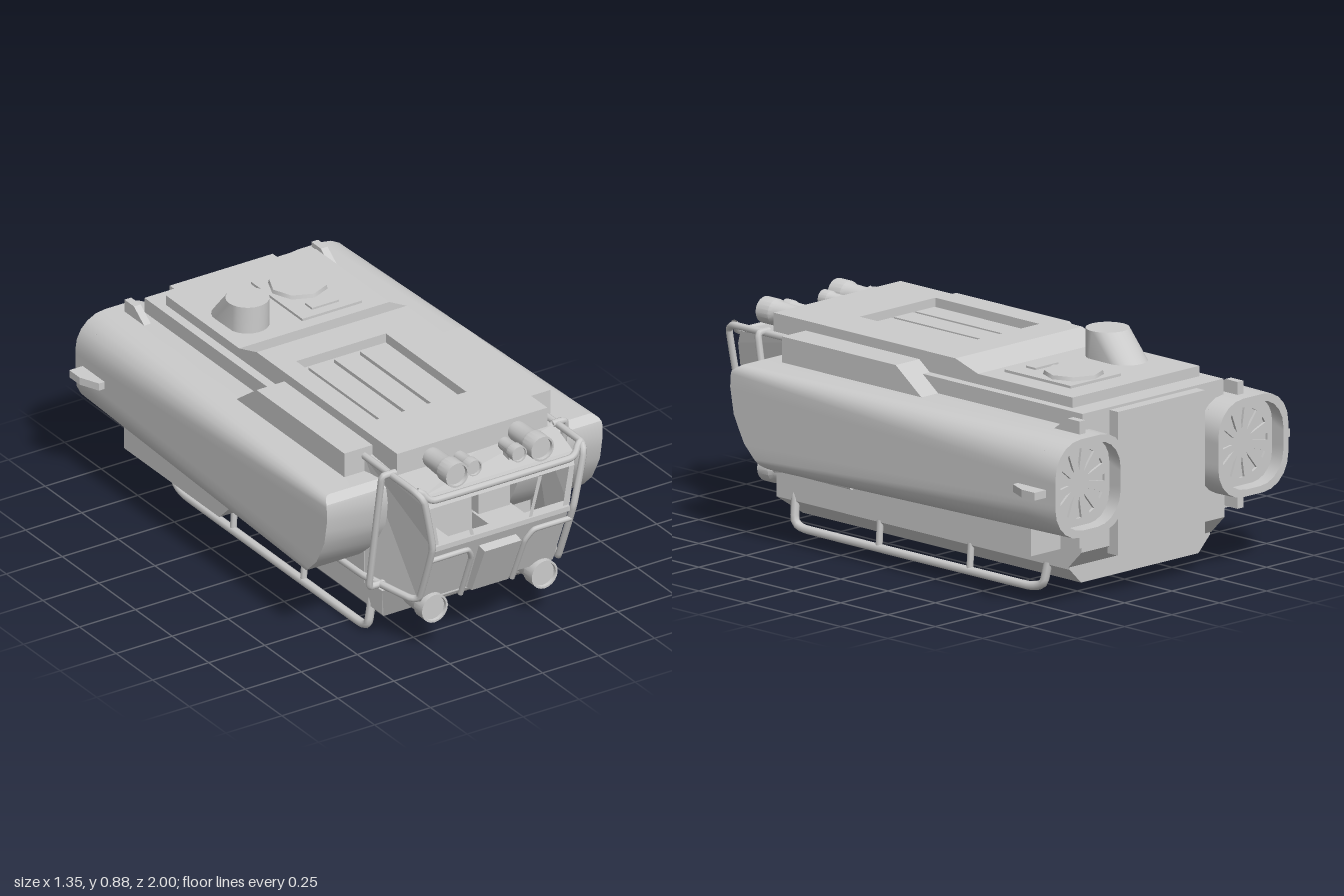
import * as THREE from 'three';
import { toCreasedNormals } from 'three/addons/utils/BufferGeometryUtils.js';

const mat = new THREE.MeshStandardMaterial({ color: 0xcccccc, side: THREE.DoubleSide });

export function createModel() {
  const root = new THREE.Group();
  const add = (name, geo, x = 0, y = 0, z = 0) => {
    const m = new THREE.Mesh(geo, mat);
    m.name = name;
    m.position.set(x, y, z);
    root.add(m);
    return m;
  };
  const box = (name, x0, x1, y0, y1, z0, z1) =>
    add(name, new THREE.BoxGeometry(x1 - x0, y1 - y0, z1 - z0), (x0 + x1) / 2, (y0 + y1) / 2, (z0 + z1) / 2);
  const shape = (pts) => new THREE.Shape(pts.map((p) => new THREE.Vector2(...p)));
  const extrude = (s, depth) => new THREE.ExtrudeGeometry(s, { depth, bevelEnabled: false });
  // side profile of [z, y] points, extruded across x
  const side = (name, pts, x0, x1) => add(name, extrude(shape(pts), x1 - x0).rotateY(-Math.PI / 2), x1);
  // plan of [x, z] points, extruded upward
  const plan = (name, s, y0, y1) => add(name, extrude(s, y1 - y0).rotateX(Math.PI / 2), 0, y1);
  const rect = (x0, x1, z0, z1) => [[x0, z0], [x1, z0], [x1, z1], [x0, z1]];
  const tube = (name, pts, r = 0.014) => {
    const c = new THREE.CatmullRomCurve3(pts.map((p) => new THREE.Vector3(...p)), false, 'catmullrom', 0.15);
    return add(name, new THREE.TubeGeometry(c, pts.length * 10, r, 8));
  };
  // thin convex panel
  const panel = (name, pts) => {
    const pos = [];
    for (let i = 1; i < pts.length - 1; i++) pos.push(...pts[0], ...pts[i], ...pts[i + 1]);
    const g = new THREE.BufferGeometry();
    g.setAttribute('position', new THREE.Float32BufferAttribute(pos, 3));
    g.computeVertexNormals();
    return add(name, g);
  };
  const interp = (table, v) => {
    for (let i = 1; i < table.length; i++) {
      const [a, fa] = table[i - 1], [b, fb] = table[i];
      if (v <= b) return fa + (fb - fa) * Math.max(0, (v - a) / (b - a));
    }
    return table[table.length - 1][1];
  };

  // Hull, keel and skirt
  box('hull', -0.372, 0.372, 0.2, 0.735, -0.9, 0.6);
  const keel = extrude(shape([[-0.31, 0.06], [0.31, 0.06], [0.37, 0.12], [0.37, 0.22], [-0.37, 0.22], [-0.37, 0.12]]), 1.55);
  const kp = keel.attributes.position;
  for (let i = 0; i < kp.count; i++) if (kp.getZ(i) > 1 && kp.getY(i) < 0.1) kp.setZ(i, 1.47);
  keel.computeVertexNormals();
  add('keel', keel, 0, 0, -0.83);
  box('bellyPlate', -0.225, 0.225, 0.045, 0.065, -0.78, 0.56);
  side('skirt', [[0.31, 0.24], [0.23, 0.13], [-0.83, 0.13], [-0.9, 0.2], [-0.9, 0.3], [0.31, 0.3]], -0.378, 0.378);
  box('rearDoor', -0.23, 0.23, 0.17, 0.725, -0.945, -0.89);

  // Roof with framed skylight
  box('roofBase', -0.335, 0.335, 0.72, 0.775, -0.81, 0.77);
  const top = shape(rect(-0.335, 0.335, -0.19, 0.77));
  top.holes.push(new THREE.Path(rect(-0.25, 0.15, -0.05, 0.5).map((p) => new THREE.Vector2(...p))));
  plan('roofTop', top, 0.77, 0.813);
  side('roofStep', [[-0.19, 0.77], [-0.19, 0.813], [-0.31, 0.775], [-0.31, 0.77]], -0.335, 0.335);
  for (let i = 0; i < 3; i++) box('skylightPane', -0.215 + i * 0.115, -0.115 + i * 0.115, 0.77, 0.79, -0.02, 0.47);

  // Rear hatch and exhaust
  box('hatchPlate', -0.02, 0.245, 0.77, 0.785, -0.71, -0.36);
  add('hatchLid', new THREE.CylinderGeometry(0.11, 0.115, 0.02, 8), 0.11, 0.79, -0.59);
  box('hatchLatch', 0.05, 0.17, 0.78, 0.793, -0.45, -0.4);
  const stack = new THREE.CylinderGeometry(0.083, 0.083, 0.125, 24);
  const sp = stack.attributes.position;
  for (let i = 0; i < sp.count; i++) if (sp.getY(i) < 0 && sp.getZ(i) < 0.001) sp.setZ(i, sp.getZ(i) - 0.11);
  add('exhaustStack', toCreasedNormals(stack, 0.6), -0.2, 0.822, -0.46);

  // Hollow cab with open windows
  const noseZ = (y) => interp([[0.22, 0.86], [0.49, 0.965], [0.66, 0.965], [0.71, 0.945]], y);
  const noseX = (y) => interp([[0.22, 0.3], [0.49, 0.305], [0.71, 0.335]], y);
  const front = (x, y, off = 0) => [x, y, noseZ(y) + off];
  const edge = (s, y) => front(s * noseX(y), y);
  const ys = [0.22, 0.49, 0.66, 0.71];
  for (const s of [1, -1]) {
    panel('cabSide', [[s * 0.37, 0.735, 0.6], [s * 0.37, 0.2, 0.6], ...ys.map((y) => edge(s, y)), [s * 0.365, 0.735, 0.77]]);
    panel('outerPillar', [edge(s, 0.49), front(s * 0.275, 0.49), front(s * 0.305, 0.66), edge(s, 0.66)]);
    const strut = [[0.12, 0.49], [0.135, 0.49], [0.182, 0.66], [0.165, 0.66]];
    panel('windowPillar', strut.map(([x, y]) => front(s * x, y, 0.004)));
    panel('frontInset', [[0.15, 0.27], [0.27, 0.27], [0.27, 0.4], [0.15, 0.4]].map(([x, y]) => front(s * x, y, 0.01)));
    box('seatBase', s * 0.17 - 0.08, s * 0.17 + 0.08, 0.3, 0.38, 0.63, 0.8);
    box('seatBack', s * 0.17 - 0.07, s * 0.17 + 0.07, 0.38, 0.58, 0.61, 0.66);
  }
  for (const [name, a, b] of [['nosePanel', 0.22, 0.49], ['windowHeader', 0.66, 0.71]])
    panel(name, [edge(-1, a), edge(1, a), edge(1, b), edge(-1, b)]);
  panel('cabRoof', [edge(-1, 0.71), edge(1, 0.71), [0.365, 0.735, 0.77], [0.37, 0.735, 0.6], [-0.37, 0.735, 0.6], [-0.365, 0.735, 0.77]]);
  panel('cabFloor', [edge(-1, 0.22), edge(1, 0.22), [0.37, 0.2, 0.6], [-0.37, 0.2, 0.6]]);
  box('windowSill', -0.3, 0.3, 0.48, 0.5, 0.93, 0.978);
  side('noseBox', [[0.84, 0.215], [0.89, 0.215], [0.982, 0.42], [0.93, 0.43]], -0.082, 0.082);

  // Engine pods: rounded section lofted to a swept, sharp-edged nose
  const podNose = [[0.295, 0.52], [0.31, 0.57], [0.37, 0.64], [0.48, 0.7], [0.6, 0.722], [0.65, 0.715], [0.675, 0.68]];
  const half = (r, k) => {
    const w = 0.185 * k, h = 0.19 * k, pts = [];
    const corner = (a0, cy) => {
      for (let m = 0; m <= 5; m++) {
        const a = a0 + (m / 5) * Math.PI / 2;
        pts.push([w - r + r * Math.cos(a), cy + r * Math.sin(a)]);
      }
    };
    corner(-Math.PI / 2, r - h);
    for (let m = 1; m < 6; m++) pts.push([w, (h - r) * (m / 3 - 1)]);
    corner(0, h - r);
    return pts;
  };
  const podGeometry = () => {
    const pos = [], idx = [], n = 17, N = 2 * n;
    const rings = [[0.1, 0.86, 0, 0.08], [0.12, 0.86, 0, 0], [0.13, 1, 0, 0]];
    for (const t of [0.1, 0.25, 0.45, 0.6, 0.75, 0.9, 1]) rings.push([0.13 - 0.095 * t, 1, t, 0]);
    for (const [r, k, t, dz] of rings) {
      const h = half(r, k);
      const ring = [...h, ...h.slice().reverse().map(([x, y]) => [-x, y])];
      for (const [x, y] of ring) pos.push(x, y, -1 + dz + t * (1 + interp(podNose, y + 0.485)));
    }
    for (let j = 0; j < rings.length - 1; j++)
      for (let i = 0; i < N; i++) {
        const a = j * N + i, b = j * N + (i + 1) % N;
        idx.push(a, b, b + N, a, b + N, a + N);
      }
    const o = (rings.length - 1) * N;
    for (let i = 0; i < n - 1; i++) {
      const a = o + i, b = o + i + 1, c = o + N - 2 - i, d = o + N - 1 - i;
      idx.push(a, b, c, a, c, d);
    }
    const g = new THREE.BufferGeometry();
    g.setAttribute('position', new THREE.Float32BufferAttribute(pos, 3));
    g.setIndex(idx);
    return toCreasedNormals(g, 0.5);
  };
  // Slotted turbine plate
  const fan = shape([...half(0.1, 0.86), ...half(0.1, 0.86).reverse().map(([x, y]) => [-x, y])]);
  for (let i = 0; i < 12; i++) {
    const a = (i / 12) * Math.PI * 2;
    const p = (r, da) => new THREE.Vector2(r * Math.cos(a + da), r * Math.sin(a + da));
    fan.holes.push(new THREE.Path([p(0.05, 0), p(0.135, -0.1), p(0.135, 0.1)]));
  }
  for (const s of [1, -1]) {
    const x = s * 0.43;
    add('enginePod', podGeometry(), x, 0.485, 0);
    add('turbinePlate', extrude(fan, 0.01), x, 0.485, -0.94);
    box('turbineBack', x - 0.15, x + 0.15, 0.335, 0.635, -0.915, -0.905);
    plan('sideFin', shape([[0.6, -0.8], [0.64, -0.8], [0.675, -0.88], [0.675, -0.95], [0.6, -0.95]].map(([a, b]) => [s * a, b])), 0.465, 0.495);
    const fx = s * 0.417;
    side('topFin', [[-0.79, 0.66], [-0.88, 0.725], [-0.945, 0.725], [-0.945, 0.66]], fx - 0.015, fx + 0.015);
    side('bottomFin', [[-0.79, 0.31], [-0.88, 0.235], [-0.945, 0.235], [-0.945, 0.31]], fx - 0.015, fx + 0.015);
    // Shoulder and lower side lockers
    const span = (a, b) => (s > 0 ? [a, b] : [-b, -a]);
    side('shoulder', [[0.6, 0.6], [0.6, 0.775], [0, 0.775], [-0.15, 0.665], [-0.15, 0.6]], ...span(0.33, 0.46));
    side('lowerLocker', [[-0.04, 0.32], [-0.04, 0.29], [-0.14, 0.195], [-0.79, 0.195], [-0.79, 0.32]], ...span(0.36, 0.535));
    box('lockerPanel', ...span(0.4, 0.51), 0.188, 0.2, -0.74, -0.19);

    // Landing skid with struts
    tube('skid', [[0.26, 0.17, 0.63], [0.31, 0.17, 0.63], [0.355, 0.145, 0.63], [0.368, 0.05, 0.625], [0.368, 0.02, 0.56],
      [0.368, 0.02, -0.6], [0.368, 0.045, -0.69], [0.36, 0.14, -0.71]].map(([a, b, c]) => [s * a, b, c]), 0.017);
    for (const z of [0.18, -0.3]) tube('skidStrut', [[s * 0.368, 0.02, z], [s * 0.36, 0.15, z]], 0.013);

    // Guard bars
    tube('mainGuard', [[0.37, 0.74, 0.57], [0.37, 0.74, 0.94], [0.355, 0.71, 0.985], [0.315, 0.5, 0.98], [0.31, 0.25, 0.885],
      [0.33, 0.235, 0.84], [0.375, 0.235, 0.6], [0.38, 0.235, 0.31]].map(([a, b, c]) => [s * a, b, c]));
    tube('sideGuard', [[0.35, 0.745, 0.78], [0.4, 0.745, 0.78], [0.41, 0.72, 0.775], [0.41, 0.26, 0.695],
      [0.4, 0.235, 0.69], [0.34, 0.235, 0.69]].map(([a, b, c]) => [s * a, b, c]));
    tube('noseGuard', [[0.31, 0.44, 0.965], [0.15, 0.44, 0.965], [0.12, 0.39, 0.945], [0.115, 0.2, 0.865]].map(([a, b, c]) => [s * a, b, c]), 0.011);

    // Lamps
    for (const [name, lx, ly, r, z0, z1] of [['lowerLamp', 0.245, 0.185, 0.058, 0.73, 0.89],
      ['roofLamp', 0.19, 0.765, 0.051, 0.78, 0.96], ['smallRoofLamp', 0.1, 0.76, 0.033, 0.83, 0.94]]) {
      const L = z1 - z0;
      const prof = [[0, 0], [r * 0.75, 0], [r * 0.8, L * 0.1], [r * 0.85, L * 0.55], [r, L * 0.65], [r, L], [r * 0.86, L], [r * 0.84, L * 0.92], [0, L * 0.92]];
      const g = new THREE.LatheGeometry(prof.map((p) => new THREE.Vector2(...p)), 20).rotateX(Math.PI / 2);
      add(name, toCreasedNormals(g, 0.5), s * lx, ly, z0);
      box('lampMount', s * lx - 0.015, s * lx + 0.015, Math.min(ly, 0.7), Math.max(ly, 0.22), z0 + 0.02, z0 + 0.06).visible = true;
    }
  }
  tube('topGuard', [[-0.365, 0.745, 0.95], [-0.345, 0.735, 0.96], [-0.3, 0.7, 0.975], [0.3, 0.7, 0.975], [0.345, 0.735, 0.96], [0.365, 0.745, 0.95]]);
  tube('towBar', [[-0.15, 0.2, 0.74], [-0.15, 0.15, 0.74], [-0.135, 0.145, 0.74], [0.135, 0.145, 0.74], [0.15, 0.15, 0.74], [0.15, 0.2, 0.74]], 0.011);
  return root;
}
